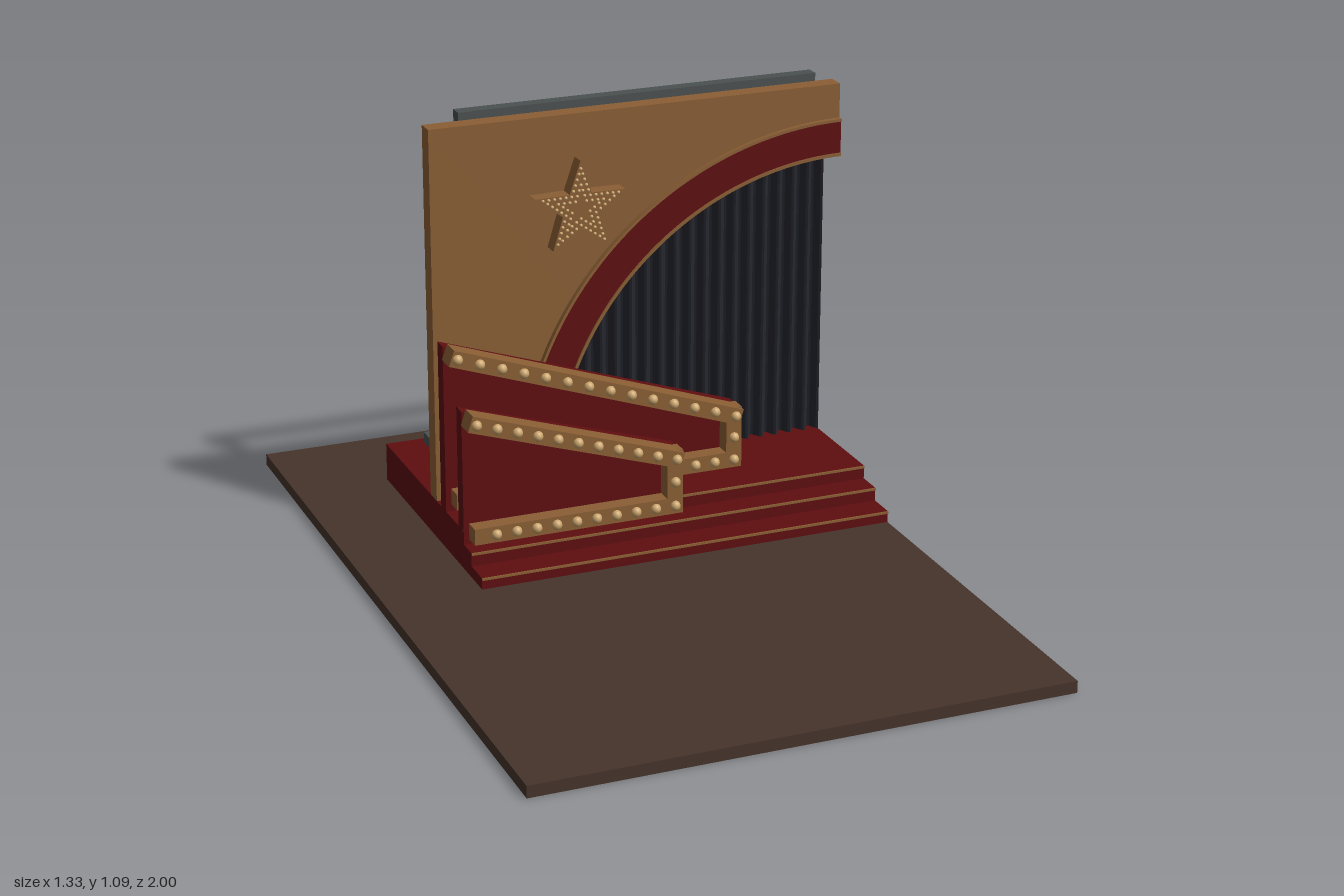
import * as THREE from 'three';

const mat = (name, color) => Object.assign(new THREE.MeshStandardMaterial({ color }), { name });

export function createModel() {
  const root = new THREE.Group();
  root.name = 'theatreStage';
  const floorBrown = mat('floorBrown', 0x46342b);
  const red = mat('deepRed', 0x5e0d0f);
  const gold = mat('woodGold', 0x8a5e34);
  const bulbMat = mat('bulbCream', 0xcaa46c);
  const metal = mat('steelGrey', 0x4b5051);
  const cloth = mat('curtainCharcoal', 0x26272e);

  const add = (name, geo, material, parent = root) => {
    const m = new THREE.Mesh(geo, material);
    m.name = name;
    parent.add(m);
    return m;
  };
  const box = (name, material, x0, x1, y0, y1, z0, z1, parent) => {
    const m = add(name, new THREE.BoxGeometry(x1 - x0, y1 - y0, z1 - z0), material, parent);
    m.position.set((x0 + x1) / 2, (y0 + y1) / 2, (z0 + z1) / 2);
    return m;
  };
  // Extrude an outline in x, y between two depths
  const slab = (name, material, shape, z0, z1, parent) => {
    const geo = new THREE.ExtrudeGeometry(shape, { depth: z1 - z0, bevelEnabled: false, curveSegments: 40 });
    return add(name, geo.translate(0, 0, z0), material, parent);
  };
  const outline = (pts) => new THREE.Shape(pts.map((p) => new THREE.Vector2(p[0], p[1])));

  const L = -0.42, R = 0.665, deck = 0.13;

  // Floor and stepped stage with thin gold nosings
  box('floor', floorBrown, -R, R, 0, 0.03, -1, 1);
  [[0.03, 0.06, 0.026], [0.06, 0.095, -0.048], [0.095, deck, -0.115]].forEach(([y0, y1, z]) => {
    box('stageStep', red, L, R, y0, y1, -0.715, z);
    box('stepTrim', gold, L, R, y1 - 0.006, y1, z, z + 0.004);
  });

  // Proscenium wall with a quarter-circle opening
  const rIn = 0.775, rOut = 0.868;
  const wall = new THREE.Shape();
  wall.moveTo(L, deck);
  wall.lineTo(R - rOut, deck);
  wall.absarc(R, deck, rOut, Math.PI, Math.PI / 2, true);
  wall.lineTo(R, 1.09);
  wall.lineTo(L, 1.09);
  slab('prosceniumWall', gold, wall, -0.353, -0.306);

  // Arch band and its gold edging
  const band = (r0, r1) => {
    const s = new THREE.Shape();
    s.moveTo(R, deck + r0);
    s.absarc(R, deck, r0, Math.PI / 2, Math.PI, false);
    s.lineTo(R - r1, deck);
    s.absarc(R, deck, r1, Math.PI, Math.PI / 2, true);
    s.closePath();
    return s;
  };
  slab('archBand', red, band(rIn, rOut), -0.362, -0.295);
  slab('archInnerTrim', gold, band(rIn, rIn + 0.008), -0.295, -0.291);
  slab('archOuterTrim', gold, band(rOut - 0.003, rOut + 0.004), -0.306, -0.291);

  // Pleated curtain on a rail
  const c0 = -0.145, folds = 20, steps = folds * 8, front = [], back = [];
  for (let i = 0; i <= steps; i++) {
    const x = c0 + ((R - c0) * i) / steps;
    const w = 0.014 * Math.cos((i / 8) * Math.PI * 2);
    front.push([x, 0.407 - w]);
    back.unshift([x, 0.413 - w]);
  }
  const curtain = new THREE.ExtrudeGeometry(outline([...front, ...back]), { depth: 0.815, bevelEnabled: false });
  add('curtain', curtain.rotateX(-Math.PI / 2).translate(0, deck, 0), cloth);
  box('curtainRail', metal, c0, R, 0.935, 0.962, -0.437, -0.405);

  // Braced steel frame behind the wall
  const frame = new THREE.Group();
  frame.name = 'rearFrame';
  root.add(frame);
  box('framePost', metal, -0.295, -0.26, deck, 1.08, -0.481, -0.449, frame);
  box('frameBeam', metal, -0.295, R, 1.045, 1.08, -0.486, -0.452, frame);
  box('frameBase', metal, -0.325, -0.21, deck, 0.158, -0.69, -0.39, frame);
  box('wallTie', metal, -0.3, -0.245, 0.835, 0.868, -0.481, -0.353, frame);
  const dy = 0.7, dz = 0.195;
  const brace = add('frameBrace', new THREE.BoxGeometry(0.028, Math.hypot(dy, dz), 0.022), metal, frame);
  brace.position.set(-0.272, 0.5, -0.57);
  brace.rotation.x = Math.atan2(dz, dy);

  // Marquee wings: red panel, gold strips and a run of bulbs
  const bulbGeo = new THREE.SphereGeometry(0.0135, 12, 8);
  const wing = (name, top, corner, low, bottomY, zBack, zPanel, counts) => {
    const g = new THREE.Group();
    g.name = name;
    root.add(g);
    const edge = corner[0] + 0.022;
    slab('wingPanel', red, outline([[L, bottomY], [edge, bottomY], [edge, corner[1] + 0.013],
      [L, top[1] + 0.02]]), zBack, zPanel, g);
    const strip = (a, b, z1, ext) => {
      const len = Math.hypot(b[0] - a[0], b[1] - a[1]);
      const m = add('bulbStrip', new THREE.BoxGeometry(len + ext, 0.042, z1 - zPanel), gold, g);
      m.position.set((a[0] + b[0]) / 2, (a[1] + b[1]) / 2, (zPanel + z1) / 2);
      m.rotation.z = Math.atan2(b[1] - a[1], b[0] - a[0]);
    };
    const foot = [corner[0], low], end = [-0.385, low];
    const zTop = zPanel + 0.052, zLow = zPanel + 0.042;
    strip(top, corner, zTop, 0.032);
    strip(corner, foot, zLow, 0.04);
    strip(foot, end, zLow, 0.042);
    const run = (a, b, n, first, z) => {
      for (let i = first; i < n; i++) {
        const t = i / (n - 1);
        add('bulb', bulbGeo, bulbMat, g).position.set(a[0] + (b[0] - a[0]) * t, a[1] + (b[1] - a[1]) * t, z);
      }
    };
    run(top, corner, counts[0], 0, zTop);
    run(corner, foot, 3, 1, zLow);
    run(foot, [-0.35, low], counts[1], 1, zLow);
  };
  wing('frontWing', [-0.4, 0.423], [0.12, 0.255], 0.128, 0.095, -0.14, -0.103, [11, 10]);
  wing('rearWing', [-0.4, 0.545], [0.335, 0.29], 0.169, deck, -0.272, -0.234, [14, 14]);

  // Wall star with small studs
  const star = new THREE.Group();
  star.name = 'wallStar';
  star.position.set(-0.053, 0.864, 0);
  root.add(star);
  const tips = (k) => Array.from({ length: 10 }, (_, i) => {
    const r = (i % 2 ? 0.049 : 0.123) * k, a = Math.PI / 2 + (i * Math.PI) / 5;
    return [r * Math.cos(a), r * Math.sin(a)];
  });
  slab('starBody', gold, outline(tips(1)), -0.29, -0.25, star);
  box('starMount', gold, -0.03, 0.03, -0.03, 0.03, -0.306, -0.29, star);
  const studGeo = new THREE.SphereGeometry(0.0045, 8, 6);
  [[0.84, 5], [0.5, 3]].forEach(([k, n]) => {
    const p = tips(k);
    p.forEach((a, i) => {
      const b = p[(i + 1) % 10];
      for (let j = 0; j < n; j++) {
        const t = j / n;
        add('starStud', studGeo, bulbMat, star).position.set(a[0] + (b[0] - a[0]) * t, a[1] + (b[1] - a[1]) * t, -0.249);
      }
    });
  });

  return root;
}
